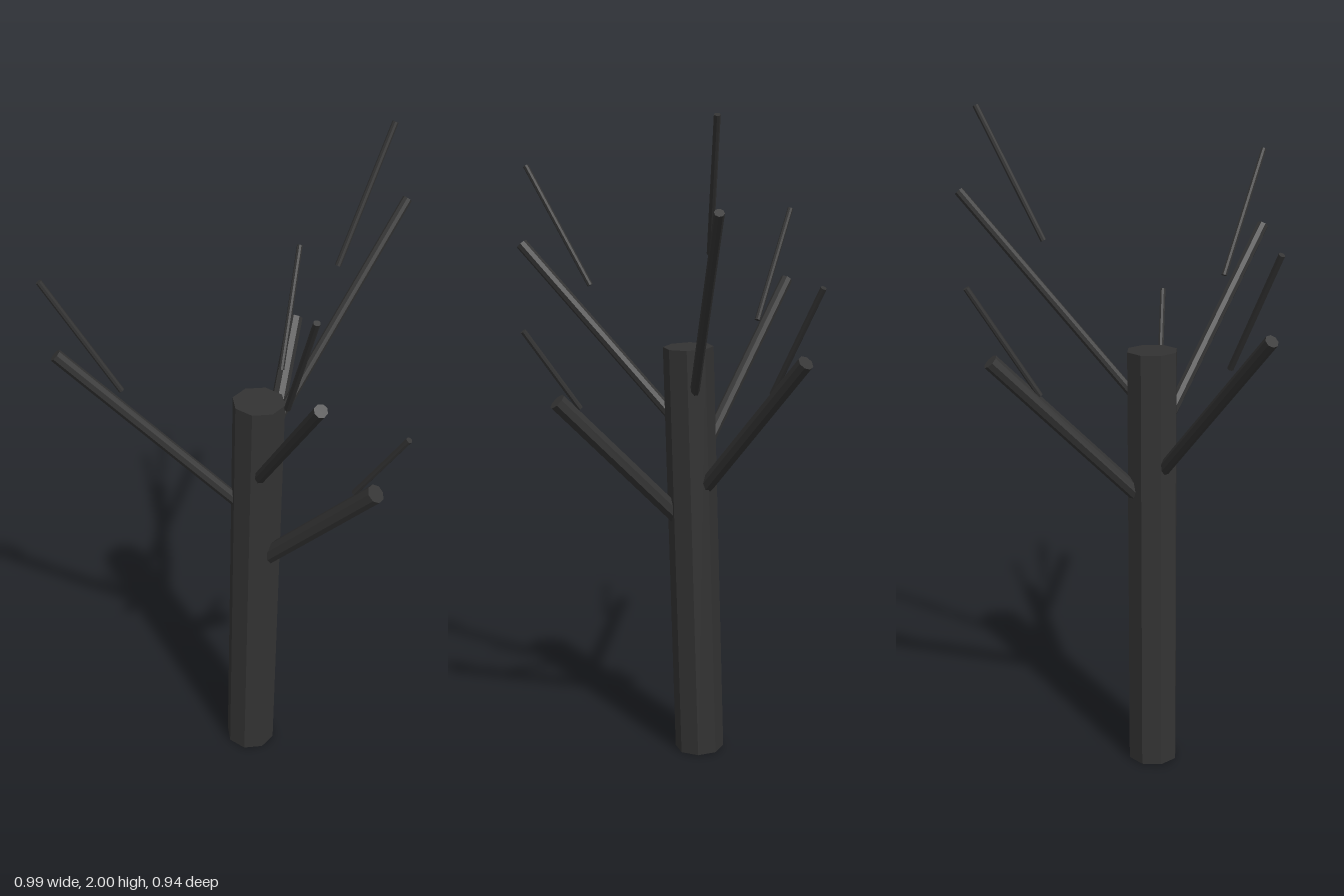
import * as THREE from 'three';

const UP = new THREE.Vector3(0, 1, 0);

export function createModel() {
  const tree = new THREE.Group();
  tree.name = 'bareTree';
  const bark = new THREE.MeshStandardMaterial({ color: 0x333333, flatShading: true });
  bark.name = 'charredBark';

  // A straight faceted limb between two points
  function limb(name, from, to, radius, sides) {
    const a = new THREE.Vector3(...from);
    const dir = new THREE.Vector3(...to).sub(a);
    const length = dir.length();
    const geometry = new THREE.CylinderGeometry(radius, radius, length, sides);
    geometry.rotateY(Math.PI / sides);
    const mesh = new THREE.Mesh(geometry, bark);
    mesh.name = name;
    mesh.position.copy(a).addScaledVector(dir, 0.5);
    mesh.quaternion.setFromUnitVectors(UP, dir.normalize());
    tree.add(mesh);
  }

  // Slightly leaning trunk
  limb('trunk', [-0.06, 0.003, 0.13], [-0.018, 1.31, 0.115], 0.077, 8);

  // Each branch with the thin twig floating near its end
  const branches = [
    { name: 'left', r: 0.028, from: [-0.02, 0.745, 0.127], to: [0.39, 1.165, 0.125],
      twig: [[0.32, 1.14, 0.125], [0.487, 1.38, 0.125]] },
    { name: 'frontLeft', r: 0.0185, from: [-0.02, 1.04, 0.135], to: [0.415, 1.605, 0.436],
      twig: [[0.23, 1.483, 0.32], [0.397, 1.842, 0.432]] },
    { name: 'back', r: 0.0145, from: [-0.03, 1.12, 0.11], to: [0.094, 1.75, -0.46],
      twig: [[0.028, 1.62, -0.205], [0.079, 1.998, -0.401]] },
    { name: 'backRight', r: 0.024, from: [-0.045, 0.84, 0.11], to: [-0.212, 1.32, -0.332],
      twig: [[-0.167, 1.21, -0.198], [-0.236, 1.535, -0.39]] },
    { name: 'frontRight', r: 0.0195, from: [-0.05, 0.93, 0.135], to: [-0.475, 1.462, 0.446],
      twig: [[-0.332, 1.347, 0.342], [-0.493, 1.692, 0.463]] },
  ];
  for (const b of branches) {
    limb(b.name + 'Branch', b.from, b.to, b.r, 8);
    limb(b.name + 'Twig', b.twig[0], b.twig[1], 0.009, 8);
  }
  return tree;
}
